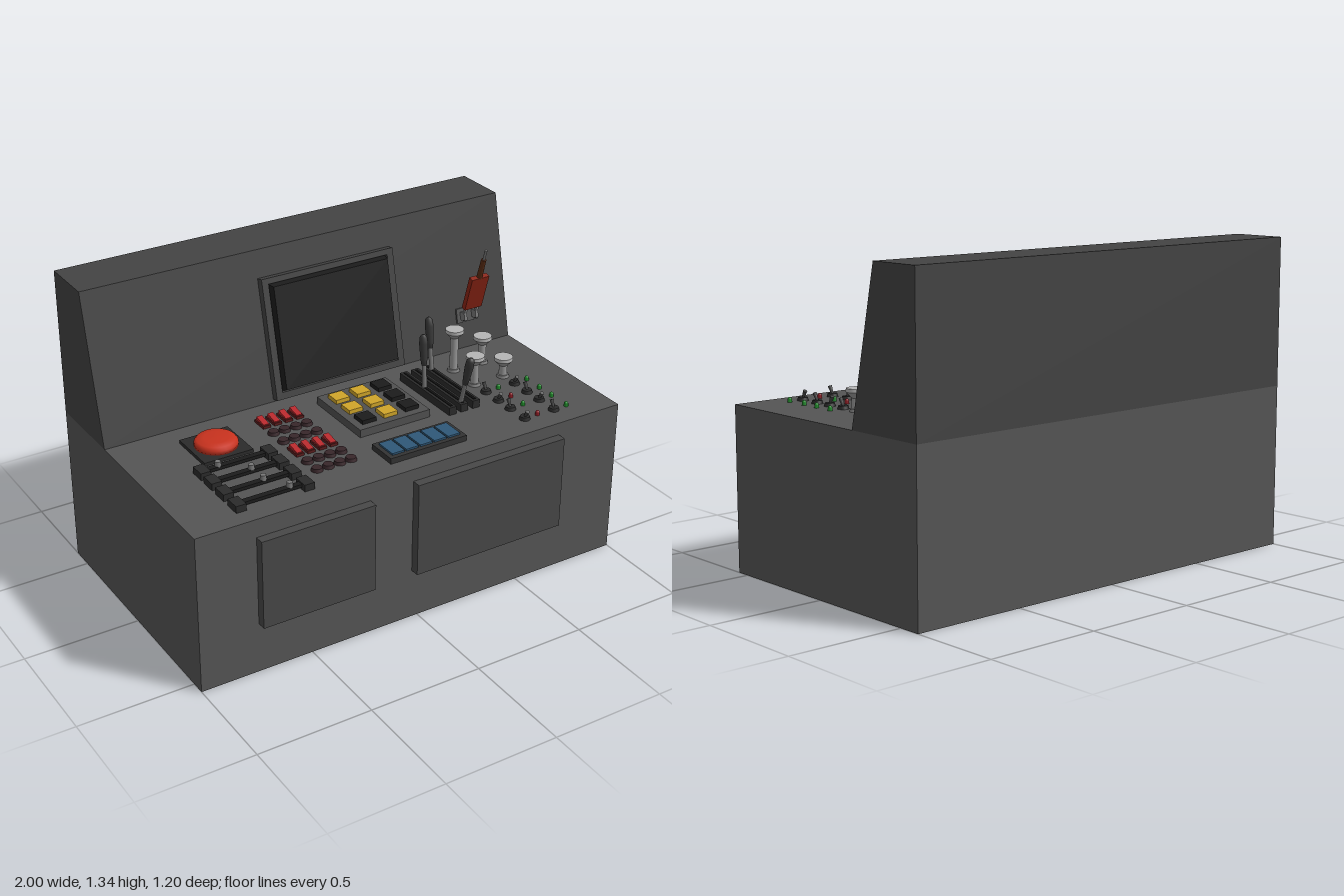
import * as THREE from 'three';

const mats = {};
const mat = (c) => (mats[c] ??= new THREE.MeshStandardMaterial({ color: c }));
const DARK = 0x2b2b2b, BLACK = 0x1c1c1c, STEEL = 0x999999, RED = 0xb02a1c;
const DESK = 0.7, SLOPE = Math.atan(0.14 / 0.64);

function add(parent, name, geo, color, x = 0, y = 0, z = 0) {
  const m = new THREE.Mesh(geo, mat(color));
  m.name = name;
  m.position.set(x, y, z);
  parent.add(m);
  return m;
}
// Box centred in x and z, standing on y
const block = (p, name, color, w, h, d, x, y, z) =>
  add(p, name, new THREE.BoxGeometry(w, h, d), color, x, y + h / 2, z);
// Upright cylinder standing on y
const post = (p, name, color, rTop, rBottom, h, x, y, z, seg = 20) =>
  add(p, name, new THREE.CylinderGeometry(rTop, rBottom, h, seg), color, x, y + h / 2, z);

function group(parent, name, x = 0, y = 0, z = 0) {
  const g = new THREE.Group();
  g.name = name;
  g.position.set(x, y, z);
  parent.add(g);
  return g;
}

function cabinet(root) {
  block(root, 'deskBody', 0x555555, 2, DESK, 1.16, 0, 0, -0.02);
  // Sloped upright: side profile drawn in (-z, y), extruded along x
  const profile = new THREE.Shape([[0.22, DESK], [0.6, DESK], [0.6, 1.34], [0.36, 1.34]]
    .map(([a, b]) => new THREE.Vector2(a, b)));
  const geo = new THREE.ExtrudeGeometry(profile, { depth: 2, bevelEnabled: false });
  geo.rotateY(Math.PI / 2).translate(-1, 0, 0);
  add(root, 'backPanel', geo, 0x434343);
  block(root, 'leftDoor', 0x484848, 0.72, 0.42, 0.04, 0.33, 0.225, 0.58);
  block(root, 'rightDoor', 0x484848, 0.51, 0.395, 0.04, -0.485, 0.225, 0.58);
}

function monitor(root) {
  // Local y runs up the slope, local z points out of it
  const g = group(root, 'monitor', 0.1, DESK, -0.22);
  g.rotation.x = -SLOPE;
  const frame = new THREE.Shape([[-0.32, 0.01], [0.32, 0.01], [0.32, 0.535], [-0.32, 0.535]]
    .map(([a, b]) => new THREE.Vector2(a, b)));
  frame.holes.push(new THREE.Path([[-0.29, 0.04], [-0.29, 0.51], [0.29, 0.51], [0.29, 0.04]]
    .map(([a, b]) => new THREE.Vector2(a, b))));
  add(g, 'monitorFrame', new THREE.ExtrudeGeometry(frame, { depth: 0.035, bevelEnabled: false }), 0x424242);
  // Screen block, narrowing towards its face
  const screen = new THREE.BoxGeometry(0.58, 0.47, 0.055);
  const p = screen.attributes.position;
  for (let i = 0; i < p.count; i++)
    if (p.getZ(i) > 0) p.setXY(i, p.getX(i) * 0.96, p.getY(i) * 0.95);
  screen.computeVertexNormals();
  add(g, 'screen', screen, BLACK, 0, 0.275, 0.0275);
}

function emergencyButton(root) {
  const g = group(root, 'emergencyButton', -0.61, DESK, 0);
  block(g, 'buttonPlate', DARK, 0.22, 0.015, 0.22, 0, 0, 0);
  const pts = [[0, 0], [0.09, 0], [0.09, 0.018], [0.08, 0.03], [0.05, 0.035], [0, 0.036]]
    .map(([a, b]) => new THREE.Vector2(a, b));
  add(g, 'redButton', new THREE.LatheGeometry(pts, 28), 0xc8321e, 0, 0.015, 0);
}

function sliders(root) {
  [[0.165, -0.69], [0.255, -0.59], [0.35, -0.59], [0.45, -0.53]].forEach(([z, knobX]) => {
    const g = group(root, 'slider', -0.61, DESK, z);
    for (const s of [-1, 1]) block(g, 'sliderEnd', DARK, 0.045, 0.03, 0.068, s * 0.15, 0, 0);
    block(g, 'sliderRail', BLACK, 0.26, 0.014, 0.026, 0, 0.01, 0);
    post(g, 'sliderKnob', 0x777777, 0.012, 0.014, 0.022, knobX + 0.61, 0.022, 0, 12);
  });
}

function switchBank(root) {
  const xs = [-0.357, -0.305, -0.252, -0.2];
  for (const x of xs) {
    for (const z of [-0.07, 0.2]) {
      const g = group(root, 'rockerSwitch', x, DESK, z);
      block(g, 'rockerCase', 0x5a1c1c, 0.036, 0.012, 0.075, 0, 0, 0);
      const rocker = block(g, 'rocker', 0xb8282c, 0.026, 0.014, 0.062, 0, 0.008, 0);
      rocker.rotation.x = 0.18;
    }
    for (const z of [0.02, 0.1, 0.29, 0.365])
      post(root, 'roundButton', 0x38262a, 0.021, 0.025, 0.014, x, DESK, z);
  }
}

function keypad(root) {
  const g = group(root, 'keypad', 0.095, DESK, 0.065);
  block(g, 'keypadBase', 0x505050, 0.34, 0.035, 0.34, 0, 0, 0);
  ['YYB', 'YYB', 'BYB'].forEach((row, r) => [...row].forEach((k, c) =>
    block(g, 'key', k === 'Y' ? 0xd0a52a : BLACK, 0.066, 0.018, 0.066, (c - 1) * 0.104, 0.035, (r - 1) * 0.103)));
}

function display(root) {
  const g = group(root, 'displayStrip', 0.097, DESK, 0.41);
  block(g, 'displayBase', 0x333333, 0.365, 0.025, 0.14, 0, 0, 0);
  for (let i = -2; i <= 2; i++) block(g, 'displayCell', 0x2f5878, 0.058, 0.008, 0.1, i * 0.067, 0.025, 0);
}

function levers(root) {
  // Each lever: x, foot z, tip z, tip height
  const list = [[0.357, 0.06, 0.04, 0.975], [0.415, 0.24, 0.305, 0.962], [0.475, -0.06, -0.095, 0.972]];
  for (const [x, z0, z1, top] of list) {
    block(root, 'leverSlot', DARK, 0.036, 0.035, 0.375, x, DESK, 0.083);
    block(root, 'leverGroove', 0x111111, 0.012, 0.003, 0.35, x, DESK + 0.035, 0.083);
    const g = group(root, 'lever', x, DESK + 0.02, z0);
    const len = Math.hypot(z1 - z0, top - DESK - 0.02);
    g.rotation.x = Math.atan2(z1 - z0, top - DESK - 0.02);
    post(g, 'leverRod', 0x777777, 0.009, 0.011, len - 0.1, 0, 0, 0, 12);
    const grip = [[0, 0], [0.011, 0], [0.015, 0.03], [0.019, 0.1], [0.016, 0.128], [0.008, 0.138], [0, 0.14]]
      .map(([a, b]) => new THREE.Vector2(a, b));
    add(g, 'leverGrip', new THREE.LatheGeometry(grip, 16), 0x383838, 0, len - 0.14, 0);
  }
}

function pullKnobs(root) {
  for (const [x, z, top] of [[0.59, -0.062, 0.9], [0.74, -0.062, 0.83], [0.59, 0.095, 0.84], [0.74, 0.095, 0.795]]) {
    const g = group(root, 'pullKnob', x, DESK, z);
    const h = top - DESK;
    post(g, 'knobCollar', 0x808080, 0.024, 0.028, 0.012, 0, 0, 0);
    post(g, 'knobStem', STEEL, 0.018, 0.018, h - 0.035, 0, 0.005, 0);
    post(g, 'knobCone', STEEL, 0.041, 0.018, 0.025, 0, h - 0.04, 0, 24);
    post(g, 'knobCap', 0xb5b5b5, 0.04, 0.041, 0.015, 0, h - 0.015, 0, 24);
  }
}

function toggles(root) {
  const red = 0x8c1c24, green = 0x1f8a2a;
  [0.18, 0.27, 0.355, 0.455].forEach((z, i) => [0.59, 0.74].forEach((x, j) => {
    const g = group(root, 'toggleSwitch', x, DESK, z);
    post(g, 'toggleBase', DARK, 0.02, 0.024, 0.014, 0, 0, 0);
    const stick = group(g, 'toggleStick', 0, 0.01, 0);
    stick.rotation.x = (i + j) % 2 ? 0.5 : -0.5;
    post(stick, 'toggleRod', 0x444444, 0.009, 0.005, 0.036, 0, 0, 0, 10);
    const color = j === 0 && i % 2 ? red : green;
    post(root, 'lampStem', color, 0.009, 0.01, 0.012, x + 0.065, DESK, z, 12);
    add(root, 'lampDome', new THREE.SphereGeometry(0.009, 12, 6, 0, Math.PI * 2, 0, Math.PI / 2), color, x + 0.065, DESK + 0.012, z);
  }));
}

function wallLever(root) {
  // Bracket lies on the sloped wall, the handle leans forward from it
  const b = group(root, 'leverBracket', 0.785, 0.845, -0.25);
  b.rotation.x = -SLOPE;
  block(b, 'bracketPlate', 0x555555, 0.11, 0.065, 0.014, 0, -0.03, 0);
  for (const s of [-1, 1]) block(b, 'bracketLug', 0x777777, 0.015, 0.035, 0.035, s * 0.03, -0.015, 0.022);
  const h = group(root, 'wallLever', 0.785, 0.83, -0.232);
  h.rotation.x = 0.29;
  for (const s of [-1, 1]) block(h, 'leverArm', 0x888888, 0.012, 0.09, 0.012, s * 0.03, 0, 0);
  block(h, 'redHandle', 0x8c2414, 0.09, 0.17, 0.024, 0, 0.07, 0);
  post(h, 'handleNeck', 0x5a2c14, 0.012, 0.013, 0.1, 0, 0.235, 0, 12);
  post(h, 'handleTip', 0x777777, 0.006, 0.006, 0.055, 0, 0.33, 0, 10);
}

export function createModel() {
  const root = new THREE.Group();
  root.name = 'controlConsole';
  [cabinet, monitor, emergencyButton, sliders, switchBank, keypad, display,
    levers, pullKnobs, toggles, wallLever].forEach((build) => build(root));
  return root;
}
